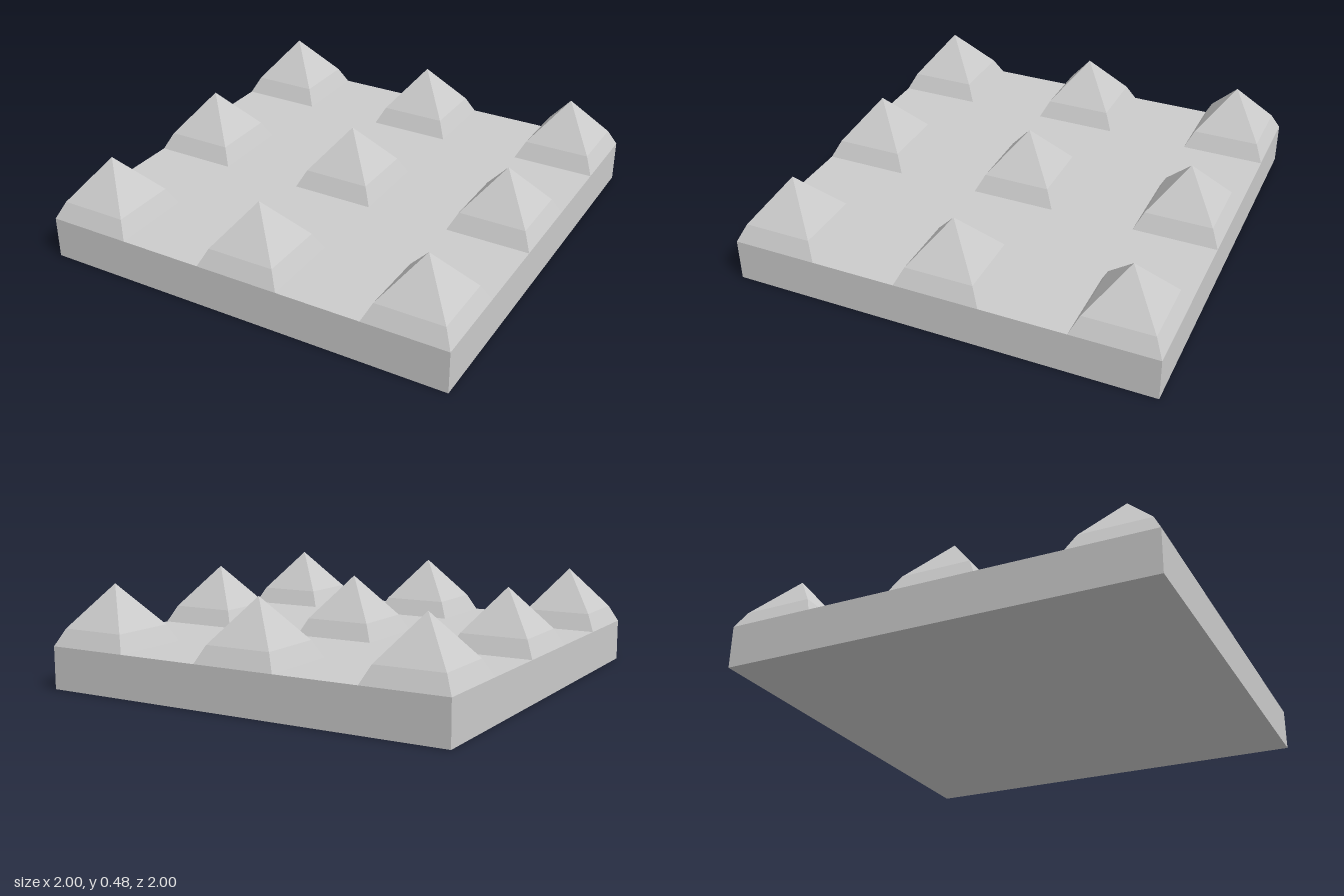
import * as THREE from 'three';

export function createModel() {
  const model = new THREE.Group();
  model.name = 'studdedTile';
  const material = new THREE.MeshStandardMaterial({ color: 0xcccccc, flatShading: true });

  // Square base slab
  const slabHeight = 0.2;
  const slab = new THREE.Mesh(new THREE.BoxGeometry(2, slabHeight, 2), material);
  slab.name = 'baseSlab';
  slab.position.y = slabHeight / 2;
  model.add(slab);

  // Four-sided stud: steep skirt, then a pyramid tip (half width, height)
  const profile = [[0.2, 0], [0.16, 0.08], [0, 0.28]]
    .map(([half, y]) => new THREE.Vector2(half * Math.SQRT2, y));
  const studGeometry = new THREE.LatheGeometry(profile, 4, Math.PI / 4);

  // Three by three grid of studs, flush with the slab edges
  const studs = new THREE.Group();
  studs.name = 'studs';
  for (const x of [-0.8, 0, 0.8]) {
    for (const z of [-0.8, 0, 0.8]) {
      const stud = new THREE.Mesh(studGeometry, material);
      stud.name = 'pyramidStud';
      stud.position.set(x, slabHeight, z);
      studs.add(stud);
    }
  }
  model.add(studs);
  return model;
}
